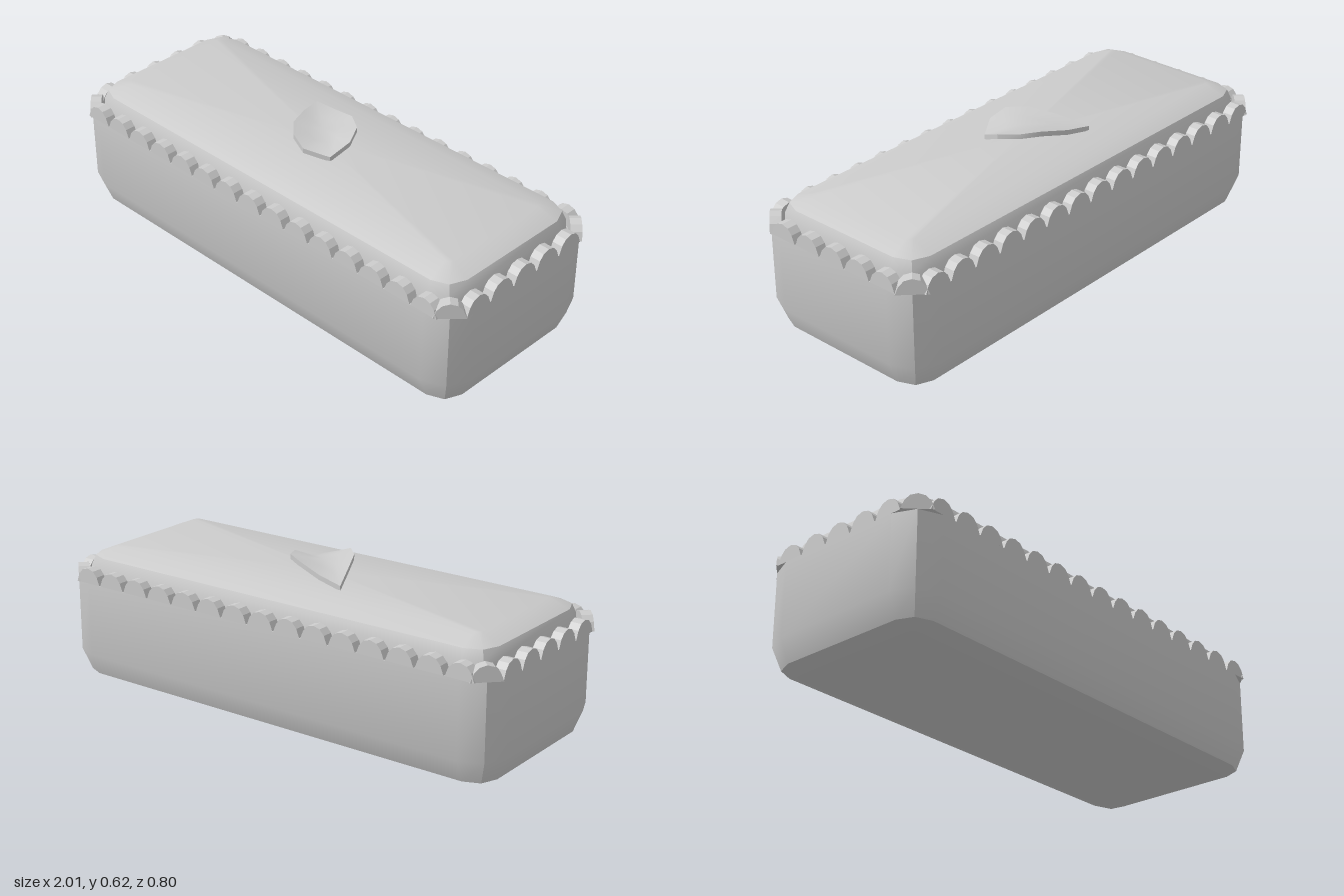
import * as THREE from 'three';
import { toCreasedNormals } from 'three/addons/utils/BufferGeometryUtils.js';

const material = new THREE.MeshStandardMaterial({ color: 0xcccccc });

// Closed skin over a stack of rings (bottom to top), with a fan at each end
function loft(rings, crease = 0.6) {
  const n = rings[0].length;
  const points = rings.flat();
  const centre = (ring) => ring.reduce((s, p) => s.add(p), new THREE.Vector3()).divideScalar(n);
  const bottom = points.push(centre(rings[0])) - 1;
  const top = points.push(centre(rings[rings.length - 1])) - 1;
  const last = (rings.length - 1) * n;
  const index = [];
  for (let i = 0; i < n; i++) {
    const j = (i + 1) % n;
    for (let r = 0; r < last; r += n) {
      index.push(r + i, r + n + i, r + j, r + j, r + n + i, r + n + j);
    }
    index.push(bottom, i, j, top, last + j, last + i);
  }
  const geometry = new THREE.BufferGeometry().setFromPoints(points);
  geometry.setIndex(index);
  return toCreasedNormals(geometry, crease);
}

// Rectangle with two-step corners at height y
function roundedRing(y, halfX, halfZ, radius) {
  const ring = [];
  for (let corner = 0; corner < 4; corner++) {
    const sx = corner === 0 || corner === 3 ? 1 : -1;
    const sz = corner < 2 ? 1 : -1;
    for (let k = 0; k < 3; k++) {
      const a = (corner + k / 2) * Math.PI / 2;
      ring.push(new THREE.Vector3(
        sx * (halfX - radius) + radius * Math.cos(a), y,
        sz * (halfZ - radius) + radius * Math.sin(a)));
    }
  }
  return ring;
}

function add(parent, name, geometry) {
  const mesh = new THREE.Mesh(geometry, material);
  mesh.name = name;
  parent.add(mesh);
  return mesh;
}

export function createModel() {
  const model = new THREE.Group();
  model.name = 'scallopedBox';

  // Body with rounded lower edges
  const HX = 1, HZ = 0.395, R = 0.127, RIM = 0.43;
  add(model, 'body', loft([
    roundedRing(0, HX - R, HZ - R, 0.002),
    roundedRing(0.037, HX - 0.037, HZ - 0.037, 0.09),
    roundedRing(R, HX, HZ, R),
    roundedRing(RIM, HX, HZ, R),
  ]));

  // Raised lid inside the rim
  add(model, 'lid', loft([
    roundedRing(0.425, 0.955, 0.355, 0.1),
    roundedRing(0.485, 0.953, 0.349, 0.1),
    roundedRing(0.522, 0.938, 0.334, 0.09),
    roundedRing(0.555, 0.86, 0.25, 0.02),
  ]));

  // Scalloped rim: small arches standing on the wall
  const rim = new THREE.Group();
  rim.name = 'scallopedRim';
  model.add(rim);
  const outline = [[-0.06, 0], [0.06, 0], [0.047, 0.033], [0.028, 0.054], [0, 0.062],
    [-0.028, 0.054], [-0.047, 0.033]].map(([x, y]) => new THREE.Vector2(x, y));
  const depth = 0.043;
  const arch = new THREE.ExtrudeGeometry(new THREE.Shape(outline), { depth, bevelEnabled: false });
  arch.translate(0, 0, -depth);
  const scallop = (x, z, turn) => {
    const mesh = add(rim, 'scallop', arch);
    mesh.position.set(x, RIM, z);
    mesh.rotation.y = turn;
  };
  const step = 0.125;
  for (const s of [1, -1]) {
    for (let i = -7; i <= 7; i++) scallop(i * step, s * HZ, s > 0 ? 0 : Math.PI);
    for (let i = -2; i <= 2; i++) scallop(s * HX, i * step, s * Math.PI / 2);
    for (const t of [1, -1]) {
      scallop(s * (HX - 0.037), t * (HZ - 0.037), Math.atan2(s, t));
    }
  }

  // Curled heart-like petal on the lid
  const edge = [[0.14, 0], [0.12, 0.085], [0.03, 0.137], [-0.04, 0.12], [-0.1, 0.06],
    [-0.15, -0.045], [-0.2, -0.165], [-0.09, -0.15], [0.03, -0.125], [0.1, -0.08]];
  const petalRing = (scale, drop) => edge.map(([ex, ez]) => {
    const x = ex * scale, z = ez * scale;
    const u = (x + z) * Math.SQRT1_2, v = (x - z) * Math.SQRT1_2;
    const y = 0.597 - 0.4 * u * u - 0.9 * Math.max(u, 0) ** 2 + 2.5 * v * v;
    return new THREE.Vector3(x, Math.min(y, 0.62) - drop, z);
  });
  add(model, 'petal', loft([
    petalRing(0.5, 0.02), petalRing(1, 0.02), petalRing(1, 0), petalRing(0.5, 0),
  ]));

  return model;
}
